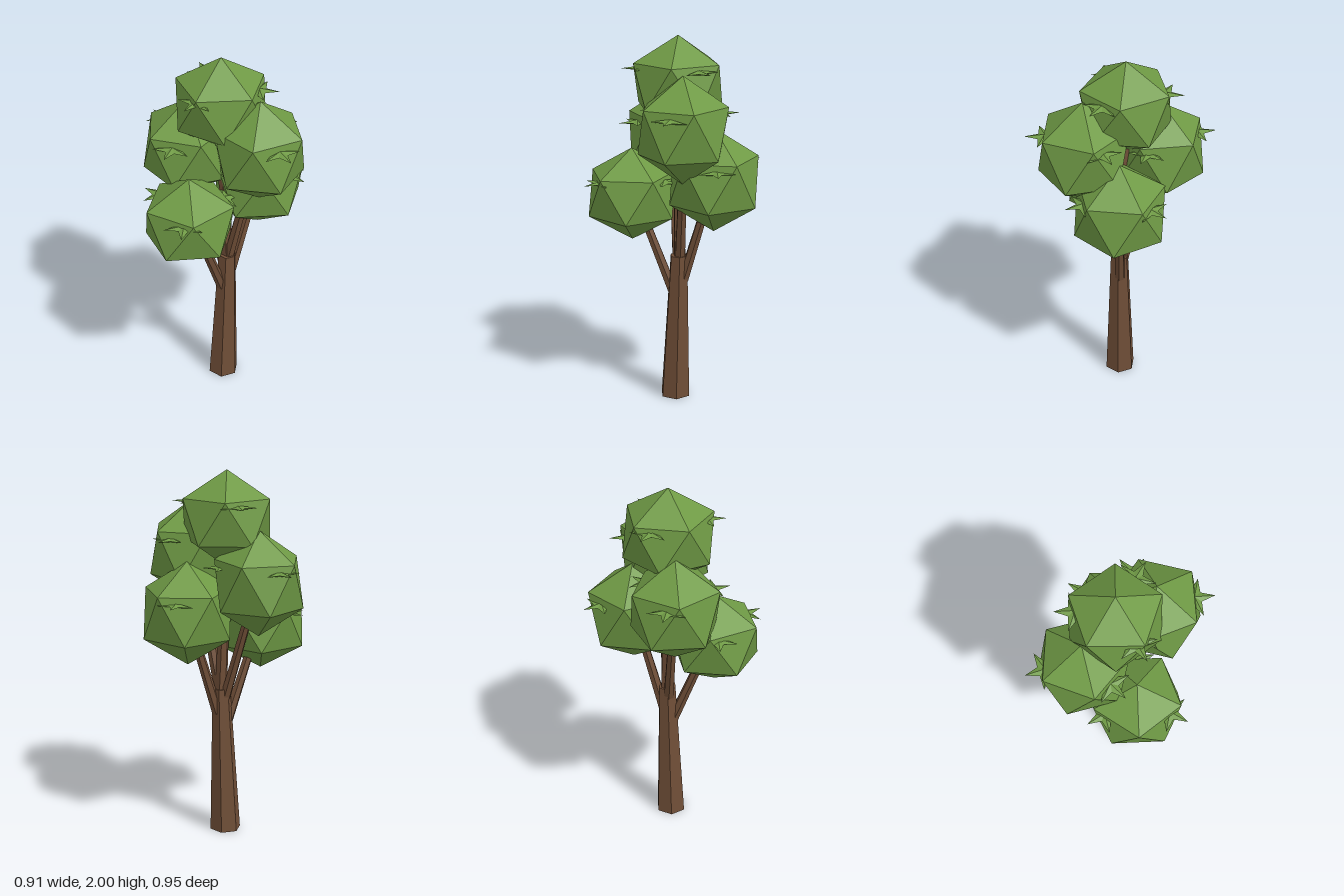
import * as THREE from 'three';

const rad = THREE.MathUtils.degToRad;

const bark = new THREE.MeshStandardMaterial({ color: 0x6f4e37 });
const foliage = new THREE.MeshStandardMaterial({ color: 0x6f9a45 });
bark.flatShading = foliage.flatShading = true;

// Tapered six-sided limb between two points
function limb(name, from, to, r0, r1) {
  const a = new THREE.Vector3(...from), b = new THREE.Vector3(...to);
  const dir = b.clone().sub(a);
  const geo = new THREE.CylinderGeometry(r1, r0, dir.length(), 6);
  geo.rotateY(Math.PI / 2);
  const mesh = new THREE.Mesh(geo, bark);
  mesh.name = name;
  mesh.position.copy(a).add(b).multiplyScalar(0.5);
  mesh.quaternion.setFromUnitVectors(new THREE.Vector3(0, 1, 0), dir.normalize());
  return mesh;
}

// Icosahedron standing on a vertex, upper ring turned to the given angle
function clumpGeometry(rh, ry, turn) {
  const geo = new THREE.IcosahedronGeometry(1, 0);
  geo.rotateZ(Math.atan(2 / (1 + Math.sqrt(5))));
  geo.rotateY(rad(180 - turn));
  return geo.scale(rh, ry, rh);
}

// Flat five-pointed leaf, slightly raised in the middle on both sides
function leafGeometry(outer, inner, thick) {
  const pos = [];
  const rim = (i) => {
    const r = i % 2 ? inner : outer, t = (i * Math.PI) / 5;
    return [r * Math.cos(t), 0, r * Math.sin(t)];
  };
  for (let i = 0; i < 10; i++) {
    pos.push(0, thick, 0, ...rim(i + 1), ...rim(i));
    pos.push(0, -thick, 0, ...rim(i), ...rim(i + 1));
  }
  const geo = new THREE.BufferGeometry();
  geo.setAttribute('position', new THREE.Float32BufferAttribute(pos, 3));
  geo.computeVertexNormals();
  return geo;
}

export function createModel() {
  const tree = new THREE.Group();
  tree.name = 'tree';

  // Trunk, leaning a little to its left
  const trunk = new THREE.Group();
  trunk.name = 'trunkAndBranches';
  const trunkGeo = new THREE.CylinderGeometry(0.05, 0.085, 0.815, 6);
  trunkGeo.rotateY(Math.PI / 2).translate(0, 0.4075, 0.015);
  const p = trunkGeo.attributes.position;
  for (let i = 0; i < p.count; i++) p.setX(i, p.getX(i) + 0.022 * p.getY(i) / 0.815);
  const trunkMesh = new THREE.Mesh(trunkGeo, bark);
  trunkMesh.name = 'trunk';
  trunk.add(trunkMesh);

  // Branches, each ending inside its clump
  trunk.add(
    limb('topBranch', [0.025, 0.8, 0.012], [0, 1.6, -0.015], 0.034, 0.025),
    limb('frontBranch', [0.03, 0.8, 0.02], [0.11, 1.4, 0.14], 0.03, 0.022),
    limb('rightBranch', [0, 0.58, 0.02], [-0.2, 1.12, 0.08], 0.03, 0.022),
    limb('leftBranch', [0.045, 0.68, 0.01], [0.2, 1.2, -0.005], 0.03, 0.022),
    limb('backBranch', [0.01, 0.74, 0.005], [-0.1, 1.32, -0.15], 0.03, 0.022),
  );
  tree.add(trunk);

  // Foliage clumps: centre, radii, turn, angle of the first of three leaves
  const clumps = [
    { name: 'topClump', at: [0, 1.744, -0.016], rh: 0.264, ry: 0.256, turn: 0, leaf: 270 },
    { name: 'frontClump', at: [0.128, 1.545, 0.185], rh: 0.261, ry: 0.283, turn: -21.5, leaf: 83 },
    { name: 'rightClump', at: [-0.222, 1.148, 0.09], rh: 0.264, ry: 0.253, turn: 178, leaf: 119 },
    { name: 'leftClump', at: [0.214, 1.25, -0.01], rh: 0.266, ry: 0.28, turn: 36, leaf: 301 },
    { name: 'backClump', at: [-0.125, 1.425, -0.182], rh: 0.26, ry: 0.28, turn: 165, leaf: 254 },
  ];
  const leafGeo = leafGeometry(0.105, 0.042, 0.013);
  for (const c of clumps) {
    const group = new THREE.Group();
    group.name = c.name;
    group.position.set(...c.at);
    const mass = new THREE.Mesh(clumpGeometry(c.rh, c.ry, c.turn), foliage);
    mass.name = 'foliage';
    group.add(mass);
    for (let k = 0; k < 3; k++) {
      const a = rad(c.leaf + 120 * k);
      const leaf = new THREE.Mesh(leafGeo, foliage);
      leaf.name = 'leaf';
      leaf.position.set(0.192 * Math.cos(a), 0.085, 0.192 * Math.sin(a));
      leaf.rotation.y = -a;
      group.add(leaf);
    }
    tree.add(group);
  }
  return tree;
}
